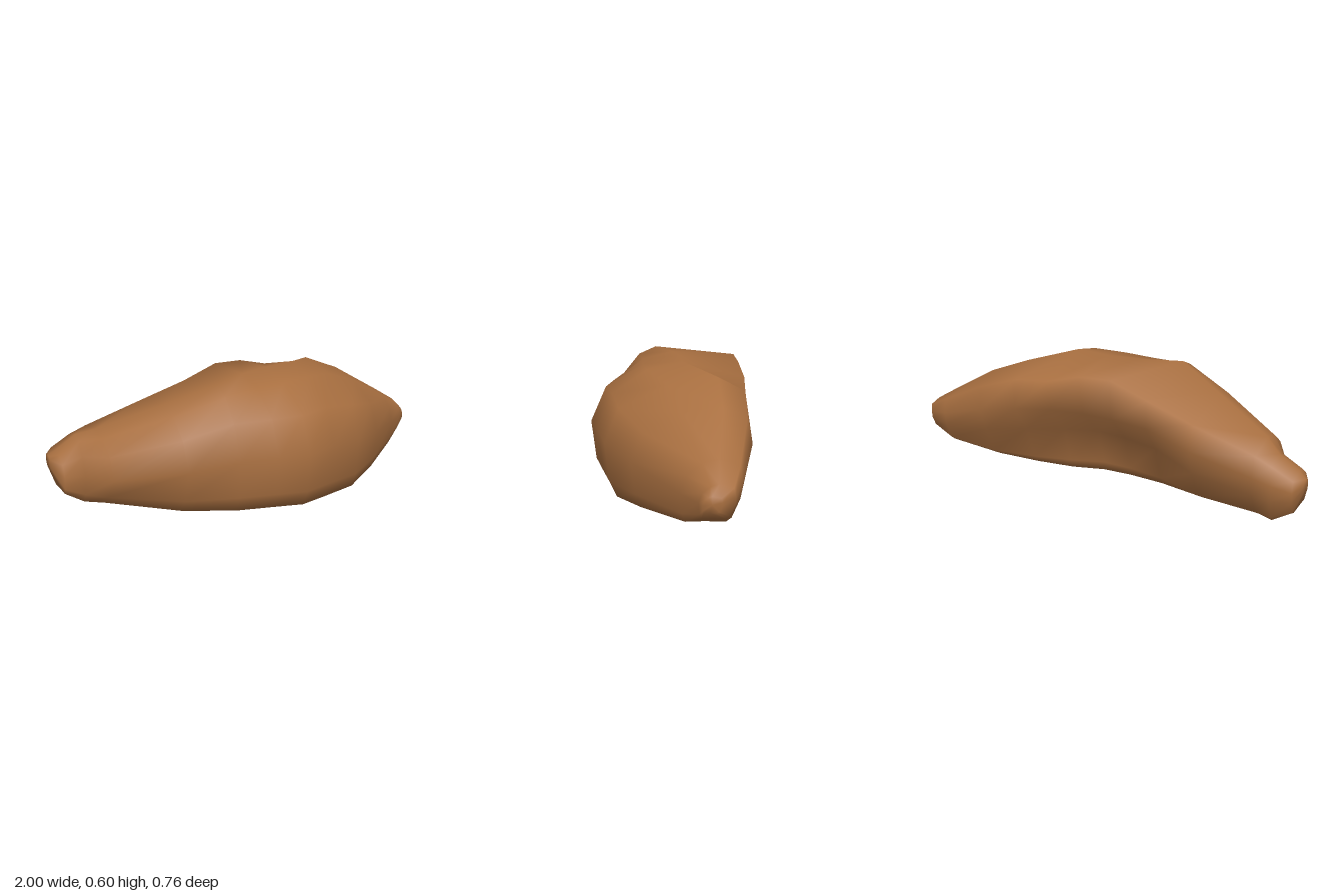
import * as THREE from 'three';

// Cross-section outline, u: back to front, v: bottom to top.
// hollow pushes the lower back inwards, crest is the depth of the highest point,
// rear is the height of the top back edge, undercut trims the lower front.
function outline(hollow, crest, rear, undercut) {
  return [
    [1, 0.45], [0.97 - undercut * 0.7, 0.13], [0.92 - undercut, 0], [0.6 - undercut * 0.4, 0.015],
    [0.26 + hollow * 0.35, 0.01], [0.16 + hollow * 0.7, 0.08], [0.02 + hollow, 0.39],
    [hollow * hollow * 1.2, 0.64], [0.05, rear], [crest, 1], [(crest + 0.9) / 2, 0.93], [0.9, 0.74],
  ];
}

// x, bottom, top, back z, front z, hollow, crest, rear, undercut
const STATIONS = [
  [-1, 0.2, 0.26, -0.27, -0.2, 0, 0.5, 0.9, 0],
  [-0.965, 0.1, 0.285, -0.315, -0.1, 0, 0.45, 0.92, 0],
  [-0.87, 0.04, 0.345, -0.325, -0.09, 0, 0.45, 0.92, 0.08],
  [-0.79, 0.035, 0.38, -0.33, 0.07, 0, 0.45, 0.92, 0.3],
  [-0.5, 0.022, 0.49, -0.345, 0.25, 0.04, 0.55, 0.89, 0.08],
  [-0.27, 0.015, 0.578, -0.34, 0.31, 0.18, 0.64, 0.88, 0],
  [-0.09, 0.01, 0.588, -0.352, 0.348, 0.24, 0.48, 0.98, 0],
  [0.06, 0.003, 0.596, -0.372, 0.375, 0.27, 0.42, 0.96, 0],
  [0.22, 0, 0.604, -0.395, 0.325, 0.23, 0.45, 0.88, 0],
  [0.4, 0.004, 0.57, -0.39, 0.275, 0.15, 0.23, 0.89, 0],
  [0.6, 0.03, 0.49, -0.386, 0.14, 0.06, 0.25, 0.89, 0],
  [0.86, 0.068, 0.337, -0.335, -0.08, 0.02, 0.38, 0.9, 0],
  [0.97, 0.125, 0.27, -0.303, -0.155, 0, 0.45, 0.9, 0],
  [1, 0.16, 0.23, -0.25, -0.17, 0, 0.5, 0.9, 0],
];

function createRockGeometry() {
  const positions = [];
  const index = [];
  const sides = outline(0, 0.5, 0.9, 0).length;

  for (const [x, bottom, top, back, front, ...shape] of STATIONS) {
    for (const [u, v] of outline(...shape)) {
      positions.push(x, bottom + (top - bottom) * v, back + (front - back) * u);
    }
  }

  // Skin between neighbouring sections
  for (let i = 0; i < STATIONS.length - 1; i++) {
    for (let j = 0; j < sides; j++) {
      const a = i * sides + j;
      const b = i * sides + (j + 1) % sides;
      index.push(a, b, a + sides, b, b + sides, a + sides);
    }
  }

  // Blunt ends
  for (const i of [0, STATIONS.length - 1]) {
    const [x, bottom, top, back, front] = STATIONS[i];
    const centre = positions.length / 3;
    positions.push(x, (bottom + top) / 2, (back + front) / 2);
    for (let j = 0; j < sides; j++) {
      const a = i * sides + j;
      const b = i * sides + (j + 1) % sides;
      if (i === 0) index.push(centre, b, a);
      else index.push(centre, a, b);
    }
  }

  const geometry = new THREE.BufferGeometry();
  geometry.setAttribute('position', new THREE.Float32BufferAttribute(positions, 3));
  geometry.setIndex(index);
  geometry.computeVertexNormals();
  return geometry;
}

export function createModel() {
  const group = new THREE.Group();
  group.name = 'rock';
  const brown = new THREE.MeshStandardMaterial({ color: 0xa86f40 });
  brown.name = 'earthBrown';
  const body = new THREE.Mesh(createRockGeometry(), brown);
  body.name = 'rockBody';
  group.add(body);
  return group;
}
